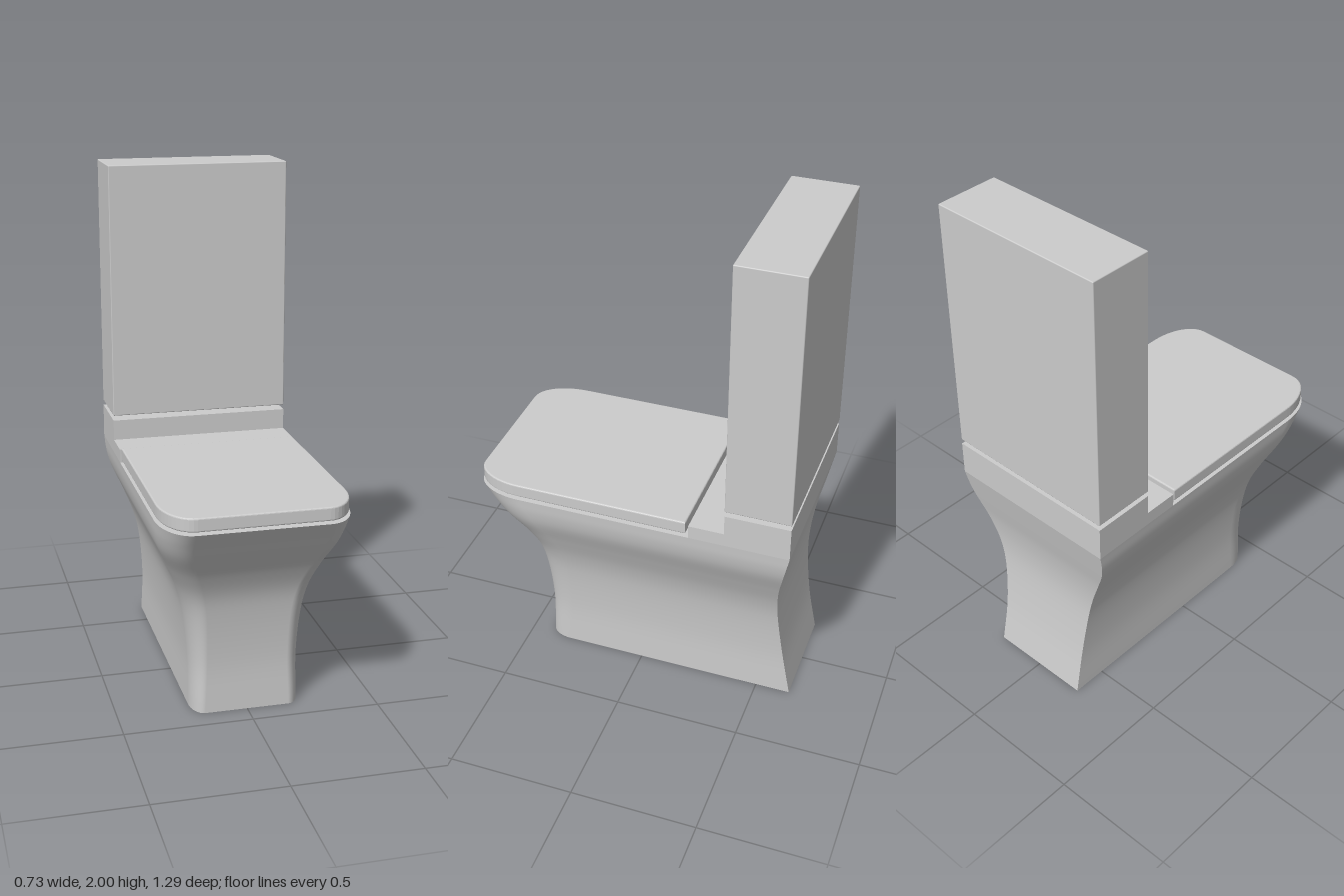
import * as THREE from 'three';
import { RoundedBoxGeometry } from 'three/addons/geometries/RoundedBoxGeometry.js';

const HALF = 0.365, BACK = -0.64;

// Plan outline [x, z]: straight sides, elliptical front corners, open at the back
function outline(w, front, back, rx, rz) {
  const pts = [], side = 8, arc = 12;
  for (let i = 0; i < side; i++) pts.push([-w, back + (front - rz - back) * i / side]);
  for (let i = 0; i <= arc; i++) {
    const a = Math.PI / 2 * i / arc;
    pts.push([-w + rx * (1 - Math.cos(a)), front - rz * (1 - Math.sin(a))]);
  }
  return pts.concat(pts.map(([x, z]) => [-x, z]).reverse());
}

// Smooth surface through rows of points
function ribbon(rows) {
  const n = rows[0].length, index = [];
  for (let i = 0; i < rows.length - 1; i++) {
    for (let j = 0; j < n - 1; j++) {
      const a = i * n + j, d = a + n;
      index.push(a, a + 1, d + 1, a, d + 1, d);
    }
  }
  const g = new THREE.BufferGeometry();
  g.setAttribute('position', new THREE.Float32BufferAttribute(rows.flat(2), 3));
  g.setIndex(index);
  g.computeVertexNormals();
  return g;
}

const planShape = (pts) => new THREE.Shape(pts.map(([x, z]) => new THREE.Vector2(x, -z)));

export function createModel() {
  const model = new THREE.Group();
  model.name = 'toilet';
  const ceramic = new THREE.MeshStandardMaterial({ color: 0xcccccc, side: THREE.DoubleSide });
  ceramic.name = 'ceramic';
  const add = (name, geometry, x = 0, y = 0, z = 0) => {
    const mesh = new THREE.Mesh(geometry, ceramic);
    mesh.name = name;
    mesh.position.set(x, y, z);
    model.add(mesh);
  };

  // Pedestal stations: height, half width, front z, back z
  const stations = [
    [0, 0.215, 0.41, -0.64], [0.2, 0.215, 0.41, -0.603], [0.4, 0.235, 0.432, -0.58],
    [0.5, 0.26, 0.455, -0.58], [0.6, 0.3, 0.502, -0.592], [0.7, 0.344, 0.567, -0.614],
    [0.76, 0.359, 0.605, -0.627], [0.82, HALF, 0.645, BACK],
  ];
  const curve = (k) => new THREE.CatmullRomCurve3(
    stations.map((s) => new THREE.Vector3(s[k], s[0], 0)));
  const [width, front, back] = [curve(1), curve(2), curve(3)];
  const walls = [], rear = [], steps = 42;
  let top;
  for (let i = 0; i <= steps; i++) {
    const t = i / steps, p = width.getPoint(t), y = p.y, k = (y / 0.82) ** 1.5;
    const b = back.getPoint(t).x;
    top = outline(p.x, front.getPoint(t).x, b, 0.05 + 0.065 * k, 0.09 + 0.1 * k);
    walls.push(top.map(([x, z]) => [x, y, z]));
    rear.push([[p.x, y, b], [-p.x, y, b]]);
  }
  add('pedestalWalls', ribbon(walls));
  add('pedestalBack', ribbon(rear));
  add('bowlRim', new THREE.ShapeGeometry(planShape(top)).rotateX(-Math.PI / 2), 0, 0.82, 0);

  // Stepped shelf behind the lid, profile drawn as (-z, y) and extruded across x
  const profile = [[0.245, 0.82], [0.64, 0.82], [0.64, 0.958], [0.385, 0.958], [0.385, 0.875], [0.245, 0.875]];
  const shelf = new THREE.ExtrudeGeometry(
    new THREE.Shape(profile.map(([u, v]) => new THREE.Vector2(u, v))),
    { depth: HALF * 2, bevelEnabled: false });
  shelf.rotateY(Math.PI / 2).translate(-HALF, 0, 0);
  add('tankShelf', shelf);

  // Lid with softened edges
  const e = 0.006;
  const lid = new THREE.ExtrudeGeometry(planShape(outline(0.36 - e, 0.643 - e, -0.232 + e, 0.11, 0.185)), {
    depth: 0.053 - 2 * e, bevelThickness: e, bevelSize: e, bevelSegments: 3,
  });
  lid.rotateX(-Math.PI / 2);
  add('lid', lid, 0, 0.831 + e, 0);

  // Tall cistern
  add('cistern', new RoundedBoxGeometry(HALF * 2, 1.022, 0.257, 2, 0.004), 0, 1.489, -0.5125);
  return model;
}
